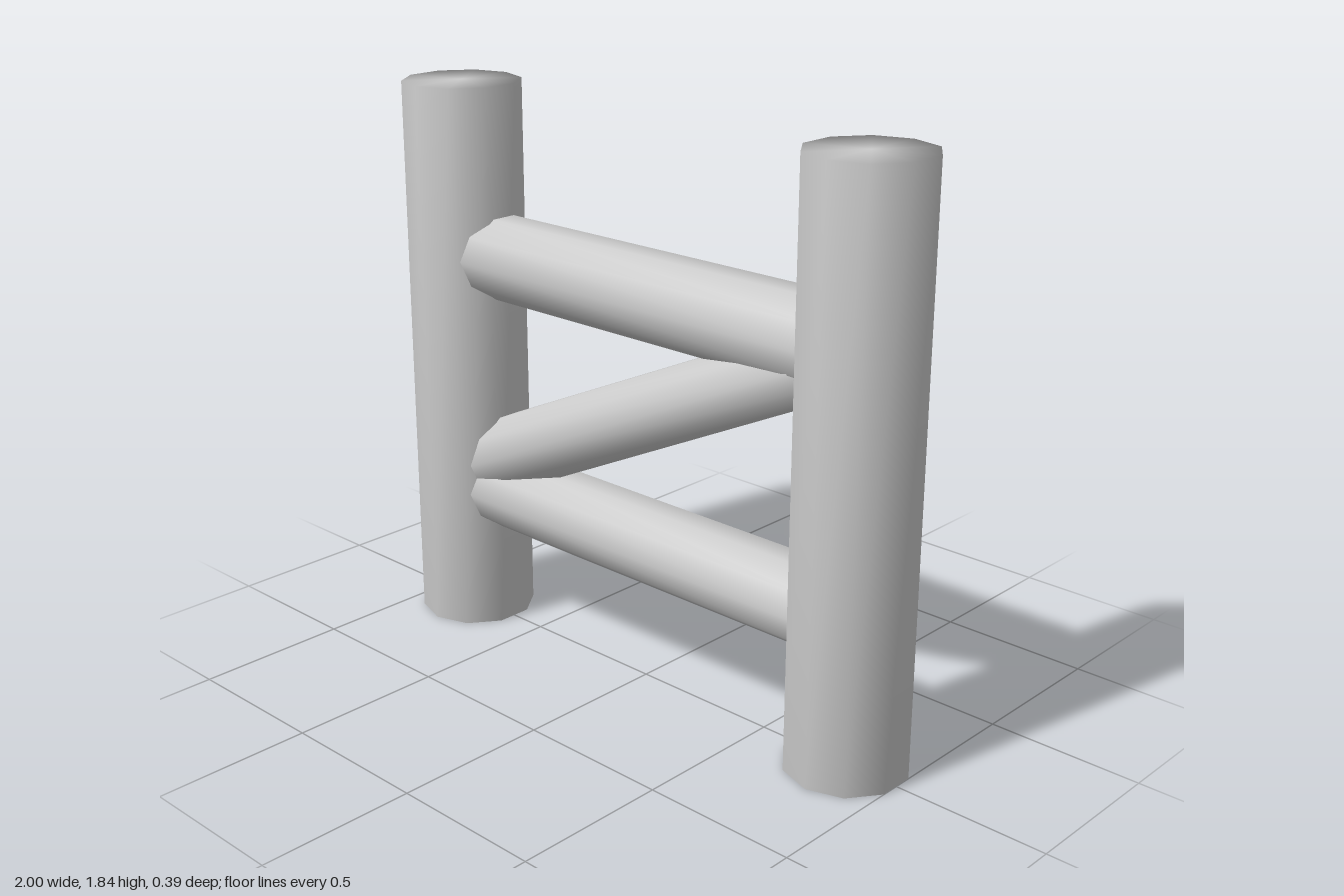
import * as THREE from 'three';
import { mergeVertices } from 'three/addons/utils/BufferGeometryUtils.js';

const SIDES = 10;
const material = new THREE.MeshStandardMaterial({ color: 0xcccccc });

// Ten-sided log between two points, caps and sides sharing smooth normals
function log(name, from, to, rFrom, rTo = rFrom) {
  const a = new THREE.Vector3(...from), b = new THREE.Vector3(...to);
  const dir = b.clone().sub(a);
  let geo = new THREE.CylinderGeometry(rTo, rFrom, dir.length(), SIDES);
  geo.deleteAttribute('normal');
  geo.deleteAttribute('uv');
  geo = mergeVertices(geo, 1e-4);
  geo.computeVertexNormals();
  const mesh = new THREE.Mesh(geo, material);
  mesh.name = name;
  mesh.position.copy(a).add(b).multiplyScalar(0.5);
  mesh.quaternion.setFromUnitVectors(new THREE.Vector3(0, 1, 0), dir.normalize());
  return mesh;
}

export function createModel() {
  const fence = new THREE.Group();
  fence.name = 'fence';
  const postX = 0.816;

  // Upright posts
  for (const [name, s] of [['leftPost', 1], ['rightPost', -1]]) {
    fence.add(log(name, [s * postX, 0, 0], [s * postX, 1.84, 0], 0.193));
  }

  // Horizontal rails
  fence.add(log('upperRail', [-postX, 1.283, 0], [postX, 1.283, 0], 0.14));
  fence.add(log('lowerRail', [-postX, 0.476, 0], [postX, 0.476, 0], 0.134));

  // Slightly tapered diagonal brace
  fence.add(log('diagonalBrace', [-0.78, 0.535, 0], [0.78, 1.27, 0], 0.132, 0.113));

  return fence;
}
